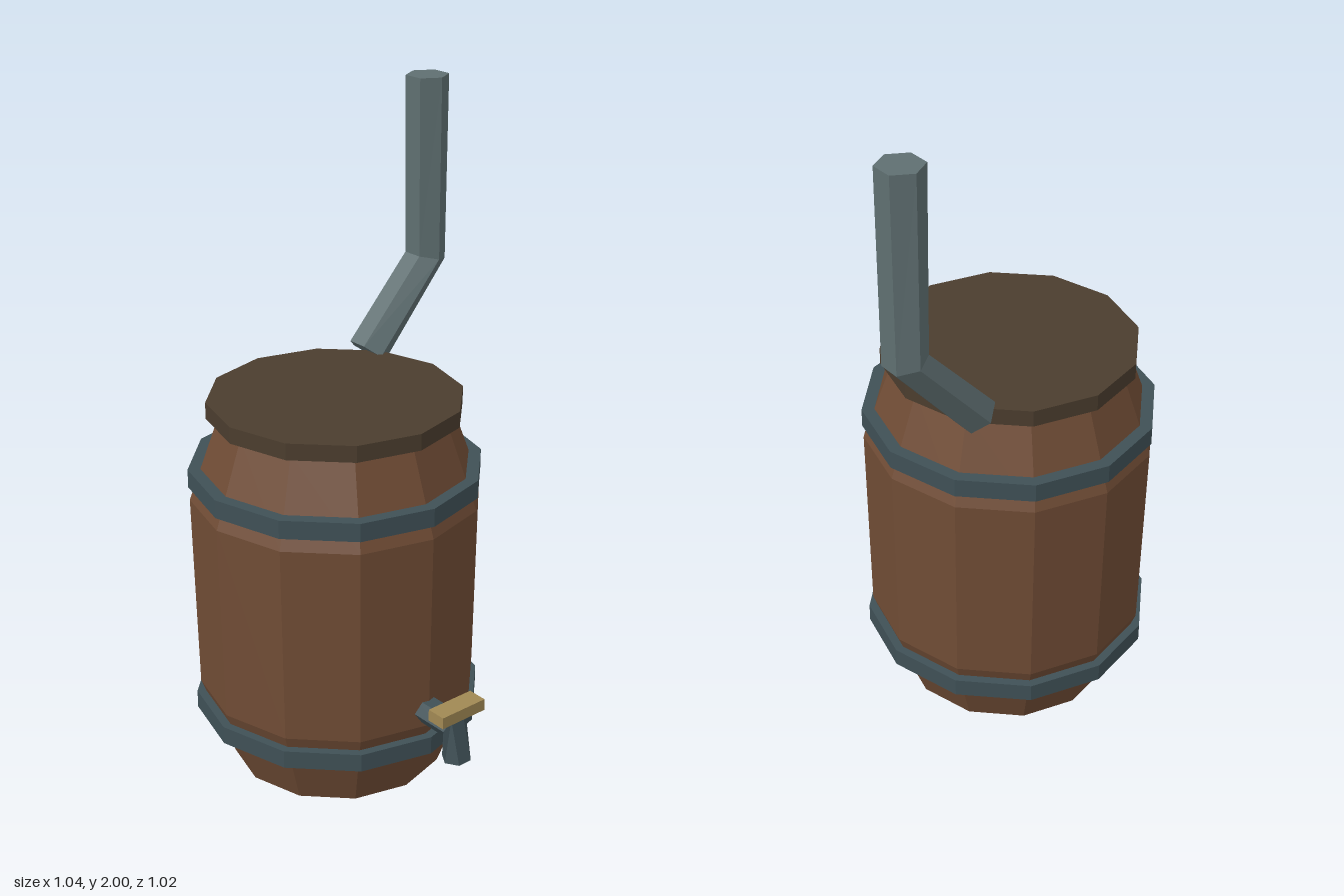
import * as THREE from 'three';

const paint = (name, color) => {
  const m = new THREE.MeshStandardMaterial({ color, flatShading: true });
  m.name = name;
  return m;
};

// Six-sided pipe bent in the xy plane. Each row gives the two flat sides of a
// cross-section, [x1, y1, x2, y2], from the first end to the last.
function bentPipe(radius, rows) {
  const geo = new THREE.CylinderGeometry(1, 1, rows.length - 1, 6, rows.length - 1);
  const pos = geo.attributes.position;
  const flat = Math.sqrt(3) / 2;
  for (let i = 0; i < pos.count; i++) {
    const [x1, y1, x2, y2] = rows[Math.round((rows.length - 1) / 2 - pos.getY(i))];
    const t = (pos.getX(i) / flat + 1) / 2;
    pos.setXYZ(i, x1 + (x2 - x1) * t, y1 + (y2 - y1) * t, pos.getZ(i) * radius);
  }
  const out = geo.toNonIndexed();
  out.computeVertexNormals();
  return out;
}

export function createModel() {
  const wood = paint('barrel wood', 0x704c35);
  const lidWood = paint('dark lid wood', 0x4b3d2e);
  const iron = paint('dark iron', 0x3f5056);
  const steel = paint('grey pipe metal', 0x5f6f71);
  const brass = paint('handle brass', 0xa08853);

  const model = new THREE.Group();
  model.name = 'barrelWithTap';
  const add = (name, geometry, material, parent, x = 0, y = 0, z = 0) => {
    const mesh = new THREE.Mesh(geometry, material);
    mesh.name = name;
    mesh.position.set(x, y, z);
    parent.add(mesh);
    return mesh;
  };

  // Twelve-sided barrel with lid and hoops
  const barrel = new THREE.Group();
  barrel.name = 'barrel';
  barrel.position.set(-0.082, 0, -0.073);
  model.add(barrel);

  const profile = [[0, 0], [0.327, 0], [0.425, 0.262], [0.435, 0.877], [0.343, 1.135], [0, 1.135]]
    .map(([r, y]) => new THREE.Vector2(r, y));
  add('barrelBody', new THREE.LatheGeometry(profile, 12), wood, barrel);
  add('lid', new THREE.CylinderGeometry(0.379, 0.379, 0.05, 12), lidWood, barrel, 0, 1.156);
  [['lowerHoop', 0.198], ['upperHoop', 0.946]].forEach(([name, y]) =>
    add(name, new THREE.CylinderGeometry(0.438, 0.438, 0.056, 12), iron, barrel, 0, y));

  // Tall bent pipe rising from the lid's edge
  add('bentPipe', bentPipe(0.0655, [
    [0.403, 2, 0.518, 2],
    [0.407, 1.45, 0.512, 1.425],
    [0.185, 1.208, 0.268, 1.14],
  ]), steel, model, 0, 0, -0.298);

  // Tap spout and its handle
  const spout = add('tapSpout', bentPipe(0.0455, [
    [0.32, 0.277, 0.32, 0.346],
    [0.457, 0.277, 0.474, 0.346],
    [0.437, 0.21, 0.511, 0.21],
  ]), iron, model, -0.081);
  spout.rotation.y = -Math.PI / 2;
  add('tapHandle', new THREE.BoxGeometry(0.161, 0.036, 0.061), brass, model, -0.081, 0.371, 0.471);

  return model;
}
